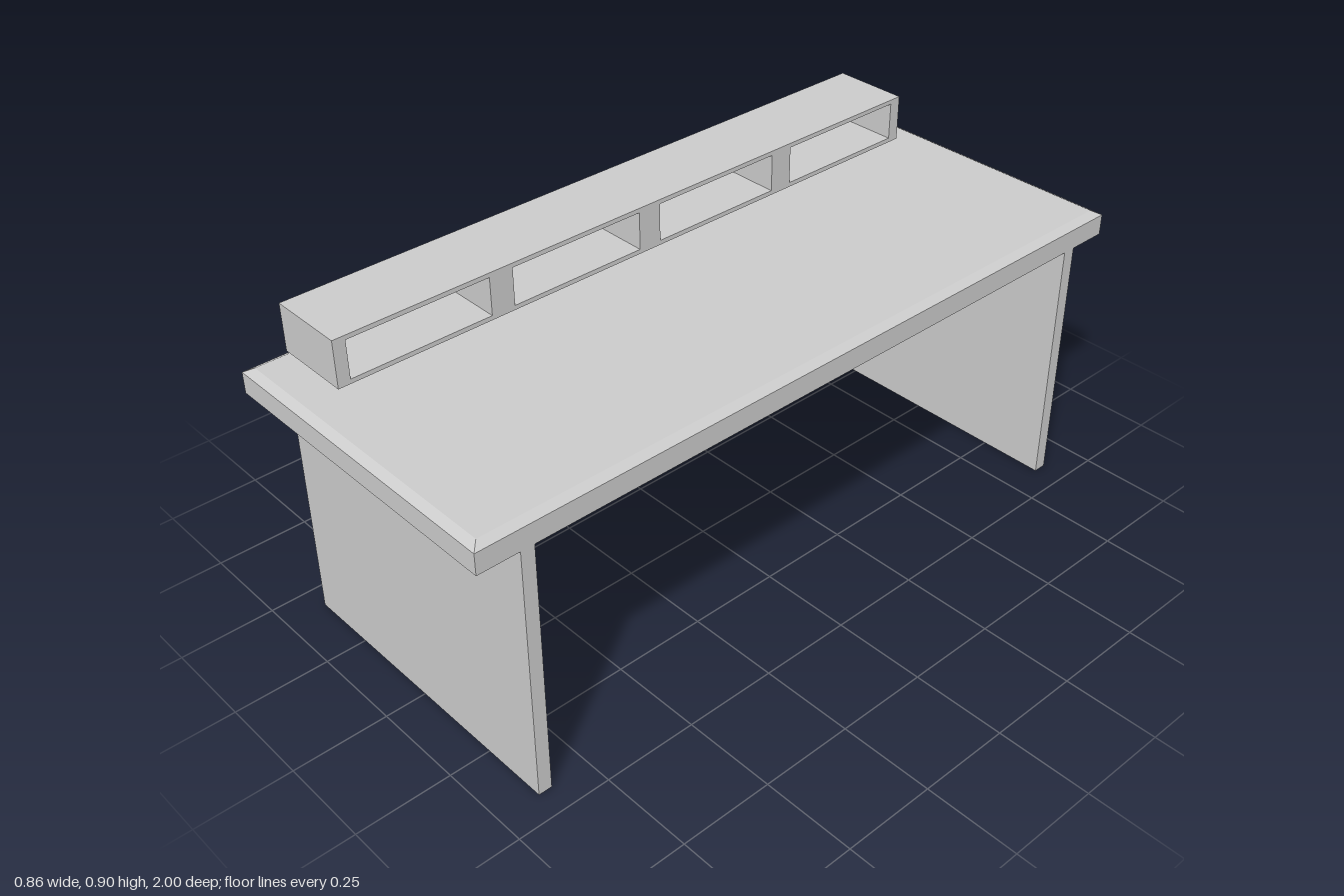
import * as THREE from 'three';

const material = new THREE.MeshStandardMaterial({ color: 0xcccccc, flatShading: true });

function addMesh(parent, name, geometry, x = 0, y = 0, z = 0) {
  const mesh = new THREE.Mesh(geometry, material);
  mesh.name = name;
  mesh.position.set(x, y, z);
  parent.add(mesh);
  return mesh;
}

// Slab whose upper edge is chamfered on all four sides
function chamferedSlab(width, depth, bottom, edge, top, inset) {
  const geometry = new THREE.BoxGeometry(width, 2, depth, 1, 2, 1);
  const p = geometry.attributes.position;
  for (let i = 0; i < p.count; i++) {
    const level = Math.round(p.getY(i));
    p.setY(i, [bottom, edge, top][level + 1]);
    if (level === 1) {
      p.setX(i, p.getX(i) - Math.sign(p.getX(i)) * inset);
      p.setZ(i, p.getZ(i) - Math.sign(p.getZ(i)) * inset);
    }
  }
  const flat = geometry.toNonIndexed();
  flat.computeVertexNormals();
  return flat;
}

// Rectangle path, wound either way
function rectangle(path, x0, y0, x1, y1) {
  path.moveTo(x0, y0);
  path.lineTo(x1, y0);
  path.lineTo(x1, y1);
  path.lineTo(x0, y1);
  path.closePath();
  return path;
}

export function createModel() {
  const desk = new THREE.Group();
  desk.name = 'desk';

  // Table top
  addMesh(desk, 'tableTop', chamferedSlab(0.86, 2, 0.692, 0.748, 0.76, 0.022));

  // Panel legs, one near each end
  for (const side of [1, -1]) {
    const name = side > 0 ? 'frontPanelLeg' : 'backPanelLeg';
    addMesh(desk, name, new THREE.BoxGeometry(0.86, 0.692, 0.036), 0, 0.346, side * 0.873);
  }

  // Raised shelf with four compartments open towards +x
  const shelf = new THREE.Group();
  shelf.name = 'shelf';
  desk.add(shelf);
  const backX = -0.4, frontX = -0.19, backThickness = 0.02;
  const face = rectangle(new THREE.Shape(), -0.9, 0.775, 0.9, 0.9);
  for (const centre of [-0.675, -0.225, 0.225, 0.675]) {
    face.holes.push(rectangle(new THREE.Path(), centre - 0.192, 0.787, centre + 0.192, 0.888));
  }
  const frame = new THREE.ExtrudeGeometry(face, {
    depth: frontX - backX - backThickness, bevelEnabled: false,
  });
  frame.rotateY(Math.PI / 2);
  addMesh(shelf, 'compartmentFrame', frame, backX + backThickness);
  addMesh(shelf, 'shelfBack', new THREE.BoxGeometry(backThickness, 0.125, 1.8),
    backX + backThickness / 2, 0.8375, 0);

  return desk;
}
